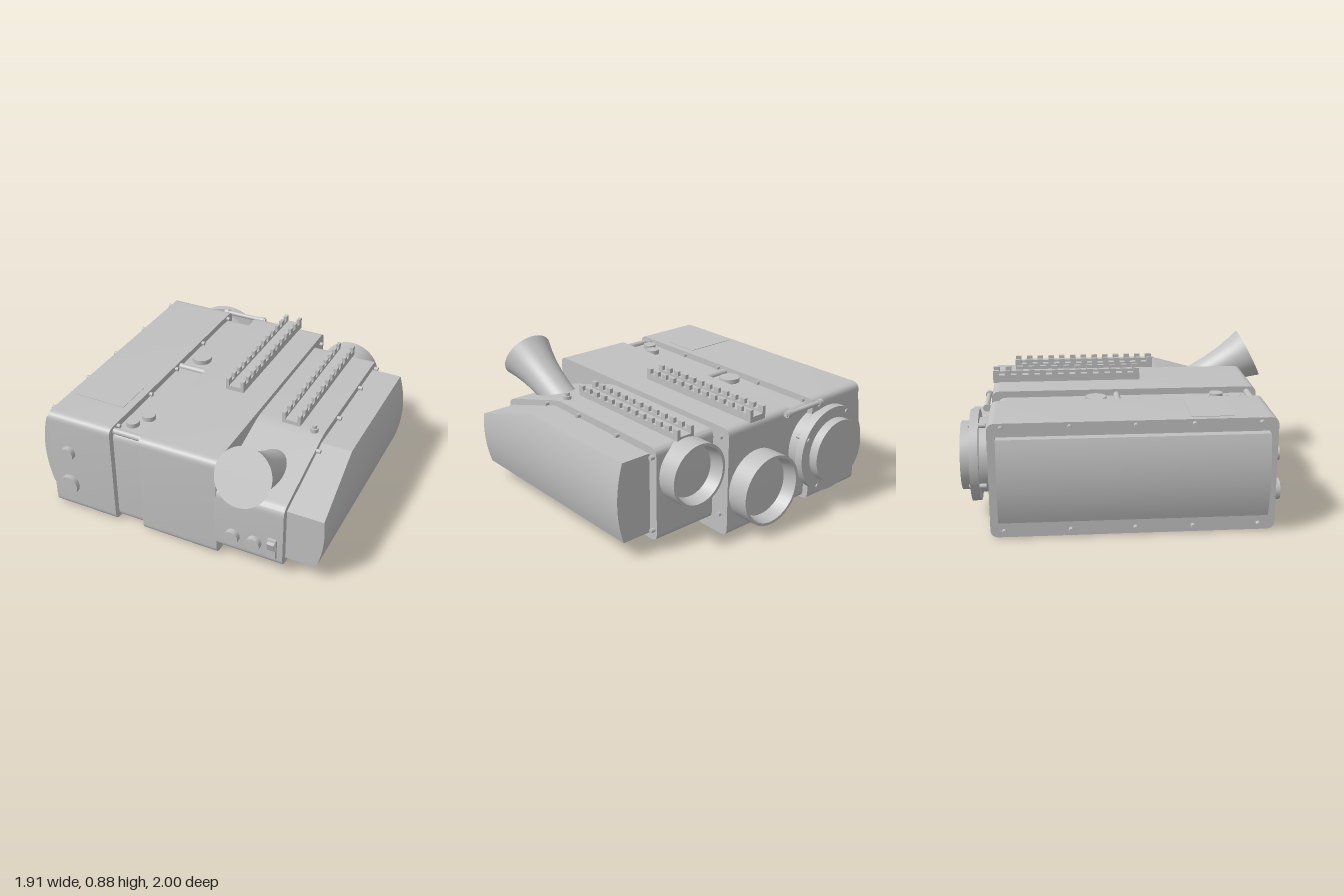
import * as THREE from 'three';
import { toCreasedNormals } from 'three/addons/utils/BufferGeometryUtils.js';

export function createModel() {
  const root = new THREE.Group();
  root.name = 'equipmentUnit';
  const grey = new THREE.MeshStandardMaterial({ color: 0xc0c0c0 });
  grey.name = 'bareMetalGrey';

  const add = (name, geo, x = 0, y = 0, z = 0) => {
    const mesh = new THREE.Mesh(geo, grey);
    mesh.name = name;
    mesh.position.set(x, y, z);
    root.add(mesh);
    return mesh;
  };
  const crease = (geo) => toCreasedNormals(geo, 0.6);

  // Side profile of [z, y] corners, rounded by r, extruded from x0 to x1
  const slab = (name, x0, x1, corners, r) => {
    const p = corners.map(([z, y]) => new THREE.Vector2(-z, y));
    const shape = new THREE.Shape();
    p.forEach((c, i) => {
      const prev = p[(i + p.length - 1) % p.length], next = p[(i + 1) % p.length];
      const a = c.clone().add(prev.clone().sub(c).setLength(r));
      const b = c.clone().add(next.clone().sub(c).setLength(r));
      if (i) shape.lineTo(a.x, a.y); else shape.moveTo(a.x, a.y);
      shape.quadraticCurveTo(c.x, c.y, b.x, b.y);
    });
    shape.closePath();
    const geo = new THREE.ExtrudeGeometry(shape, { depth: x1 - x0, bevelEnabled: false, curveSegments: 8 });
    geo.rotateY(Math.PI / 2);
    return add(name, crease(geo), x0);
  };
  const block = (zb, zf, y0, y1) => [[zf, y0], [zf, y1], [zb, y1], [zb, y0]];

  // Round part along an axis: 'x', 'y' or 'z'
  const rod = (name, axis, r, len, x, y, z, sides = 24) => {
    const geo = new THREE.CylinderGeometry(r, r, len, sides);
    if (axis === 'x') geo.rotateZ(Math.PI / 2);
    if (axis === 'z') geo.rotateX(Math.PI / 2);
    return add(name, geo, x, y, z);
  };

  // Turned part with its axis pointing backward, profile of [radius, distance]
  const turned = (name, profile, x, y, z) => {
    const geo = new THREE.LatheGeometry(profile.map(([r, d]) => new THREE.Vector2(r, d)), 48);
    geo.rotateX(-Math.PI / 2);
    return add(name, crease(geo), x, y, z);
  };

  // Housing blocks
  slab('leftHousing', -0.86, -0.42, block(-0.83, 0.83, 0, 0.69), 0.05);
  slab('channel', -0.43, -0.21, block(-0.79, 0.79, 0.005, 0.65), 0.05);
  slab('centreHousing', -0.22, 0.29, block(-0.83, 0.83, 0, 0.69), 0.05);
  slab('rightHousing', 0.28, 0.72,
    [[0.83, 0.07], [0.83, 0.49], [0.25, 0.655], [-0.7, 0.655], [-0.7, 0.07]], 0.05);
  add('topPlate', new THREE.BoxGeometry(0.35, 0.006, 0.25), -0.645, 0.69, 0.455);

  // Bulged side covers lofted through [z, top] stations
  const cover = (name, side, xIn, xOut, stations) => {
    const N = 14, bottom = 0.11, pos = [], idx = [];
    const bulge = (y) => xOut - 0.04 * ((y - 0.36) / 0.25) ** 2;
    for (const [z, top] of stations) {
      pos.push(side * xIn, bottom, z);
      for (let i = 0; i <= N; i++) {
        const y = bottom + (top - bottom) * i / N;
        pos.push(side * bulge(y), y, z);
      }
      pos.push(side * xIn, top, z);
    }
    const R = N + 3, last = (stations.length - 1) * R;
    const tri = (a, b, c) => (side > 0 ? idx.push(a, b, c) : idx.push(a, c, b));
    for (let s = 0; s < stations.length - 1; s++) {
      for (let i = 0; i < R; i++) {
        const a = s * R + i, b = s * R + (i + 1) % R;
        tri(a, a + R, b);
        tri(b, a + R, b + R);
      }
    }
    for (let i = 1; i < R - 1; i++) {
      tri(0, i, i + 1);
      tri(last, last + i + 1, last + i);
    }
    const geo = new THREE.BufferGeometry();
    geo.setAttribute('position', new THREE.Float32BufferAttribute(pos, 3));
    geo.setIndex(idx);
    add(name, toCreasedNormals(geo, 0.25));
  };
  cover('leftCover', -1, 0.85, 0.953, [[0.775, 0.61], [-0.78, 0.61]]);
  cover('rightCover', 1, 0.71, 0.953, [[0.785, 0.46], [0.28, 0.61], [-0.64, 0.61]]);

  // Toothed mounting rails
  const rail = (name, x, y, zBack) => {
    const group = new THREE.Group();
    group.name = name;
    group.position.set(x, y, zBack);
    const part = (part, w, h, d, px, py, pz) => {
      const m = new THREE.Mesh(new THREE.BoxGeometry(w, h, d), grey);
      m.name = part;
      m.position.set(px, py, pz);
      group.add(m);
    };
    part('railBase', 0.122, 0.035, 0.94, 0, 0.0125, 0.47);
    for (const s of [-1, 1]) {
      part('railWall', 0.022, 0.045, 0.94, s * 0.05, 0.0225, 0.47);
      for (let i = 0; i < 13; i++) {
        part('railTooth', 0.022, 0.04, 0.038, s * 0.05, 0.055, 0.019 + i * 0.0751);
      }
    }
    root.add(group);
  };
  rail('centreRail', 0.06, 0.69, -0.83);
  rail('rightRail', 0.503, 0.648, -0.7);

  // Flared spout leaning forward
  const spoutProfile = [[0.105, -0.1], [0.108, 0.06], [0.115, 0.17], [0.13, 0.28], [0.152, 0.38], [0.174, 0.45], [0, 0.45]];
  const spout = add('spout', crease(new THREE.LatheGeometry(
    spoutProfile.map(([r, d]) => new THREE.Vector2(r, d)), 48)), 0.505, 0.52, 0.52);
  spout.rotation.x = Math.PI / 2 - 0.477;

  // Rear cups with a recessed lens
  const cup = (name, r, h, x, y, z) => turned(name,
    [[r, -0.02], [r, h], [r - 0.018, h], [r - 0.035, h - 0.085], [r - 0.06, h - 0.085], [0, h - 0.075]], x, y, z);
  cup('rightRearCup', 0.195, 0.125, 0.505, 0.47, -0.7);
  cup('centreRearCup', 0.222, 0.138, 0.058, 0.28, -0.83);

  // Rear flanged port with its bolts
  turned('rearPort', [[0.225, -0.05], [0.225, 0.06], [0.275, 0.06], [0.275, 0.112],
    [0.205, 0.112], [0.205, 0.17], [0, 0.17]], -0.492, 0.38, -0.83);
  for (let i = 0; i < 4; i++) {
    const a = 0.49 + i * Math.PI / 2;
    rod('flangeBolt', 'z', 0.014, 0.1, -0.492 + 0.25 * Math.cos(a), 0.38 + 0.25 * Math.sin(a), -0.9, 12);
  }

  // Rear rod and channel crossbars
  rod('rearRod', 'x', 0.015, 0.32, -0.32, 0.665, -0.845);
  for (const x of [-0.465, -0.185]) rod('rodCollar', 'x', 0.022, 0.03, x, 0.665, -0.845);
  for (const z of [-0.055, 0.77]) rod('crossbar', 'x', 0.02, 0.22, -0.32, 0.655, z);

  // Channel buttons and top nub
  rod('largeButton', 'y', 0.065, 0.05, -0.33, 0.655, -0.19);
  rod('smallButton', 'y', 0.042, 0.05, -0.302, 0.655, 0.56);
  rod('smallButton', 'y', 0.042, 0.05, -0.356, 0.655, 0.66);
  rod('nubBase', 'y', 0.026, 0.03, 0.655, 0.66, 0.24);
  rod('nub', 'y', 0.016, 0.06, 0.655, 0.665, 0.24);

  // Front knobs and switch
  rod('upperKnob', 'z', 0.046, 0.05, -0.73, 0.43, 0.84);
  rod('lowerKnobStem', 'z', 0.05, 0.03, -0.73, 0.2, 0.835);
  rod('lowerKnob', 'z', 0.065, 0.03, -0.73, 0.2, 0.86, 12);
  for (const x of [0.4, 0.54]) rod('rightKnob', 'z', 0.046, 0.05, x, 0.195, 0.84);
  add('switchPlate', new THREE.BoxGeometry(0.055, 0.135, 0.04), 0.656, 0.198, 0.83);
  const lever = add('switchLever', new THREE.BoxGeometry(0.045, 0.06, 0.03), 0.656, 0.225, 0.848);
  lever.rotation.x = 0.3;

  // Bolts along the left housing's edges
  for (const z of [-0.75, -0.365, 0.01, 0.345, 0.73]) {
    rod('leftBolt', 'x', 0.013, 0.05, -0.865, 0.665, z, 12);
    rod('leftBolt', 'x', 0.013, 0.05, -0.865, 0.04, z, 12);
    rod('channelBolt', 'x', 0.013, 0.05, -0.425, 0.668, z, 12);
  }
  // Bolts around the right housing's edge
  for (const [z, y] of [[0.36, 0.605], [0.02, 0.63], [-0.36, 0.63], [-0.675, 0.6], [-0.675, 0.14],
    [-0.36, 0.09], [0.02, 0.09], [0.35, 0.09], [0.73, 0.09]]) {
    rod('rightBolt', 'x', 0.013, 0.05, 0.722, y, z, 12);
  }
  for (const y of [0.13, 0.63]) rod('centreBolt', 'x', 0.013, 0.04, 0.29, y, -0.77, 12);

  return root;
}
